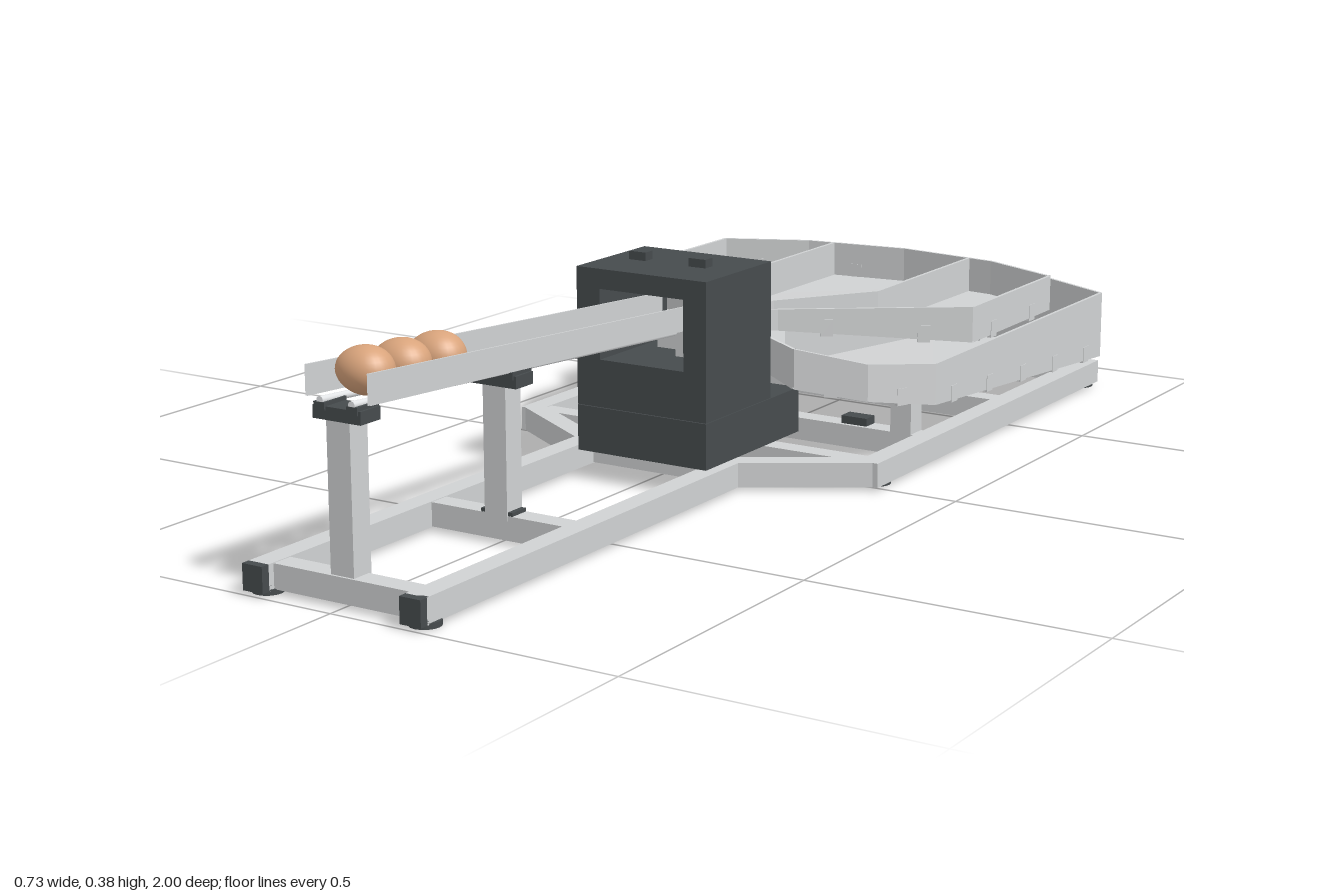
import * as THREE from 'three';

const mat = (name, color, side = THREE.FrontSide) => {
  const m = new THREE.MeshStandardMaterial({ color, side });
  m.name = name;
  return m;
};

export function createModel() {
  const light = mat('light grey', 0xd0d2d3, THREE.DoubleSide);
  const dark = mat('charcoal', 0x464b4d);
  const shell = mat('egg brown', 0xd9a47c);
  const steel = mat('polished grey', 0xe6e8ea, THREE.DoubleSide);
  const model = new THREE.Group();

  const add = (name, geo, m, x = 0, y = 0, z = 0) => {
    const mesh = new THREE.Mesh(geo, m);
    mesh.name = name;
    mesh.position.set(x, y, z);
    model.add(mesh);
    return mesh;
  };
  const box = (name, m, w, h, d, x, y, z) => add(name, new THREE.BoxGeometry(w, h, d), m, x, y, z);
  // bar with a rectangular section between two points
  const bar = (name, m, w, h, a, b) => {
    const p = new THREE.Vector3(...a), q = new THREE.Vector3(...b);
    const mesh = box(name, m, w, h, p.distanceTo(q), 0, 0, 0);
    mesh.position.copy(p).add(q).multiplyScalar(0.5);
    mesh.lookAt(q);
    return mesh;
  };
  // ruled sheet between two chains of points
  const sheet = (name, pairs, m = light) => {
    const pos = [];
    for (let i = 0; i + 1 < pairs.length; i++) {
      const [a, b] = pairs[i], [c, d] = pairs[i + 1];
      pos.push(...a, ...b, ...c, ...b, ...d, ...c);
    }
    const g = new THREE.BufferGeometry();
    g.setAttribute('position', new THREE.Float32BufferAttribute(pos, 3));
    g.computeVertexNormals();
    return add(name, g, m);
  };
  // points are [x, z, floor y, top y]; walls have a small thickness
  const wall = (name, pts, s) => {
    for (let i = 0; i + 1 < pts.length; i++) {
      const [x0, z0, f0, t0] = pts[i], [x1, z1, f1, t1] = pts[i + 1];
      const l = Math.hypot(x1 - x0, z1 - z0), nx = (z1 - z0) / l * 0.003, nz = -(x1 - x0) / l * 0.003;
      const at = (x, z, y, k) => [s * (x + nx * k), y, z + nz * k];
      const ring = (x, z, f, t) => [at(x, z, f, -1), at(x, z, t, -1), at(x, z, t, 1), at(x, z, f, 1)];
      const a = ring(x0, z0, f0, t0), b = ring(x1, z1, f1, t1);
      sheet(name, a.map((p, k) => [p, b[k]]));
    }
  };
  // small clips standing along the outside of a wall
  const clips = (pts, s, drop) => {
    for (let i = 0; i + 1 < pts.length; i++) {
      const a = pts[i], b = pts[i + 1];
      const l = Math.hypot(b[0] - a[0], b[1] - a[1]), n = Math.max(1, Math.round(l / 0.15));
      for (let k = 0; k < n; k++) {
        const t = (k + 0.5) / n, mix = j => a[j] + (b[j] - a[j]) * t;
        const c = box('wallClip', light, 0.008, 0.03, 0.022, s * mix(0), mix(2) + drop, mix(1));
        c.rotation.y = Math.atan2(s * (b[0] - a[0]), b[1] - a[1]);
      }
    }
  };

  // base frame
  const fy = 0.028, fh = 0.042;
  for (const s of [-1, 1]) {
    bar('frontRail', light, 0.038, fh, [s * 0.146, fy, 0.12], [s * 0.146, fy, 0.985]);
    bar('diagonalRail', light, 0.038, fh, [s * 0.146, fy, 0.13], [s * 0.345, fy, 0.005]);
    bar('rearRail', light, 0.038, fh, [s * 0.345, fy, 0.02], [s * 0.345, fy, -0.87]);
    box('railEndCap', dark, 0.038, fh, 0.02, s * 0.146, fy, 0.99);
    for (const [x, z] of [[0.146, 0.965], [0.335, -0.03], [0.335, -0.85]])
      add('foot', new THREE.CylinderGeometry(0.025, 0.025, 0.009, 16), dark, s * x, 0.0045, z);
    // short tray supports
    box('traySupport', light, 0.04, 0.06, 0.04, s * 0.3, 0.077, -0.2);
  }
  for (const [z, w] of [[0.955, 0.27], [0.575, 0.27], [0.12, 0.27], [0, 0.66], [-0.2, 0.66], [-0.5, 0.66], [-0.85, 0.66]])
    box('crossRail', light, w, fh - 0.002, 0.038, 0, fy, z);

  // ramp posts and their dark brackets
  for (const [z, top] of [[0.95, 0.28], [0.575, 0.255]]) {
    box('rampPost', light, 0.043, top - 0.04, 0.04, 0, (top + 0.04) / 2, z);
    box('rampBracket', dark, 0.088, 0.02, 0.045, 0, top + 0.01, z);
    for (const s of [-1, 1]) box('bracketClamp', dark, 0.02, 0.012, 0.05, s * 0.03, top + 0.02, z);
  }
  box('postBase', dark, 0.06, 0.006, 0.036, 0, 0.051, 0.575);

  // sloping ramp: two guide plates and two round rods
  const slope = z => 0.245 + z * 0.065;
  for (const s of [-1, 1]) {
    const x = s * 0.057;
    const face = k => [0.97, 0.03].map(z => [[x + k, slope(z) + (z > 0.5 ? 0.002 : 0.008), z], [x + k, slope(z) + 0.049, z]]);
    sheet('guidePlate', face(0.0015));
    sheet('guidePlate', face(-0.0015));
    sheet('guidePlateTop', [0, 1].map(i => [face(0.0015)[i][1], face(-0.0015)[i][1]]));
    const rod = add('rampRod', new THREE.CylinderGeometry(0.006, 0.006, 0.95, 12), steel, s * 0.029, slope(0.5), 0.5);
    rod.rotation.x = Math.PI / 2 - Math.atan(0.065);
  }
  // eggs, blunt at one end
  for (const z of [0.9, 0.815, 0.73]) {
    const g = new THREE.SphereGeometry(1, 32, 20);
    const p = g.attributes.position;
    for (let i = 0; i < p.count; i++) {
      const x = p.getX(i), k = 1 + 0.1 * x;
      p.setXYZ(i, x * 0.048, p.getY(i) * 0.037 * k, p.getZ(i) * 0.038 * k);
    }
    g.computeVertexNormals();
    add('egg', g, shell, -0.005, slope(z) + 0.038, z);
  }

  // housing with a passage from front to back
  const outline = new THREE.Shape([[-0.108, 0.13], [0.147, 0.13], [0.147, 0.367], [-0.108, 0.367]].map(p => new THREE.Vector2(...p)));
  outline.holes.push(new THREE.Path([[-0.062, 0.212], [-0.062, 0.333], [0.103, 0.333], [0.103, 0.212]].map(p => new THREE.Vector2(...p))));
  add('housing', new THREE.ExtrudeGeometry(outline, { depth: 0.207, bevelEnabled: false }), dark, 0, 0, 0.005);
  box('housingBase', dark, 0.255, 0.079, 0.303, 0.0195, 0.0895, 0.0605);
  for (const x of [-0.05, 0.069]) box('topButton', dark, 0.033, 0.015, 0.022, x, 0.374, 0.105);
  // drive parts in the passage
  box('motor', dark, 0.03, 0.042, 0.06, 0.089, 0.235, 0.1);
  box('motorBracket', light, 0.026, 0.045, 0.05, 0.045, 0.235, 0.1);
  box('feedBlock', light, 0.05, 0.045, 0.04, -0.008, 0.232, 0.06);
  const shaft = add('motorShaft', new THREE.CylinderGeometry(0.008, 0.008, 0.03, 12), steel, 0.066, 0.24, 0.1);
  shaft.rotation.z = Math.PI / 2;

  // curved chutes at the outlet
  for (const x of [-0.032, 0, 0.032]) {
    const curve = new THREE.CatmullRomCurve3([[x * 0.8, 0.245, 0.02], [x, 0.25, -0.03], [x * 1.15, 0.243, -0.06], [x * 1.3, 0.226, -0.09]].map(p => new THREE.Vector3(...p)));
    add('outletChute', new THREE.TubeGeometry(curve, 12, 0.01, 10), steel);
  }
  box('outletGate', dark, 0.07, 0.02, 0.02, 0, 0.236, -0.055);
  const flap = box('sortingFlap', shell, 0.006, 0.03, 0.035, -0.065, 0.22, -0.21);
  flap.rotation.y = 0.6;

  // trays, built as mirrored halves
  const lower = [[0.05, -0.03, 0.195, 0.25], [0.19, 0, 0.15, 0.22], [0.3, -0.06, 0.13, 0.195], [0.36, -0.19, 0.105, 0.178],
    [0.36, -0.88, 0.055, 0.18], [0.19, -0.97, 0.04, 0.18], [0, -0.997, 0.036, 0.18]];
  const lowerMid = [[-0.05, 0.2], [-0.1, 0.18], [-0.16, 0.145], [-0.22, 0.115], [-0.88, 0.058], [-0.97, 0.045], [-0.997, 0.036]];
  const upper = [[0.038, -0.08, 0.222, 0.255], [0.075, -0.14, 0.212, 0.25], [0.355, -0.34, 0.186, 0.25],
    [0.352, -0.66, 0.186, 0.25], [0.2, -0.73, 0.186, 0.25], [0, -0.755, 0.186, 0.25]];
  const upperMid = [[-0.08, 0.222], [-0.14, 0.212], [-0.34, 0.19], [-0.66, 0.186], [-0.73, 0.186], [-0.755, 0.186]];
  const divider = [[0.018, -0.1, 0.219, 0.25], [0.03, -0.2, 0.205, 0.25], [0.148, -0.37, 0.188, 0.25], [0.148, -0.738, 0.186, 0.25]];
  for (const s of [-1, 1]) {
    const floor = (rim, mid) => rim.map(([x, z, y], i) => [[0, mid[i][1], mid[i][0]], [s * x, y, z]]);
    sheet('lowerTrayFloor', floor(lower, lowerMid));
    sheet('upperTrayFloor', floor(upper, upperMid));
    wall('lowerTrayWall', lower, s);
    wall('upperTrayWall', upper, s);
    wall('laneDivider', divider, s);
    clips(lower.slice(1), s, 0.012);
    clips(upper.slice(1), s, 0.01);
    // dark fixing plates on the lower floor
    box('fixingPlate', dark, 0.046, 0.008, 0.046, s * 0.3, 0.116, -0.205);
    box('fixingPlate', dark, 0.05, 0.008, 0.03, s * 0.285, 0.061, -0.855);
    box('fixingPlate', dark, 0.05, 0.008, 0.01, s * 0.085, 0.062, -0.865);
    box('frameBracket', dark, 0.05, 0.014, 0.03, s * 0.205, 0.056, -0.2);
  }
  box('upperTrayPlate', dark, 0.05, 0.008, 0.028, 0.1, 0.212, -0.215);
  wall('lowerTrayDivider', [[0, -0.3, 0.11, 0.18], [0, -0.88, 0.058, 0.18], [0, -0.997, 0.036, 0.18]], 1);

  return model;
}
